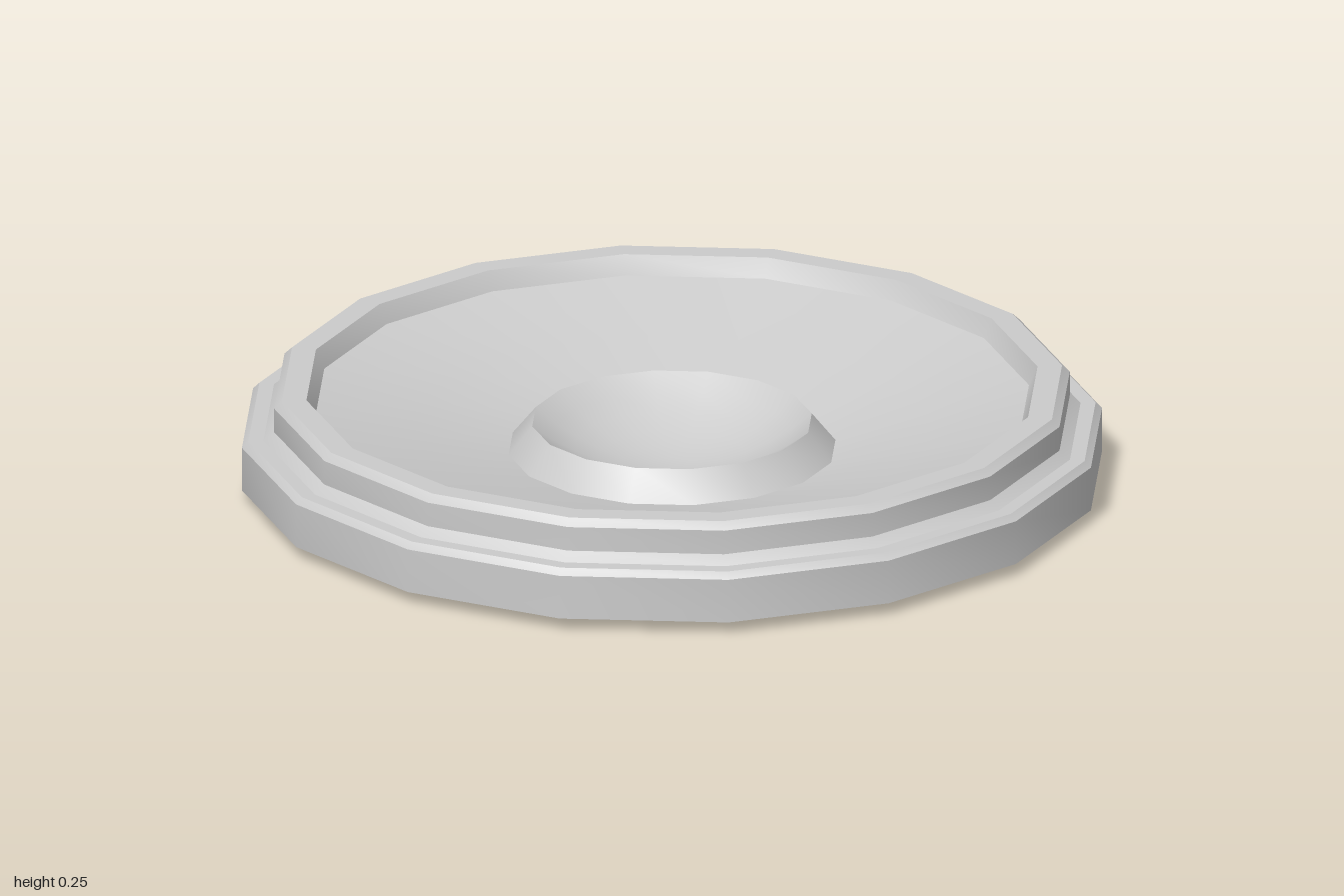
import * as THREE from 'three';
import { toCreasedNormals } from 'three/addons/utils/BufferGeometryUtils.js';

const SIDES = 16;

// Turn a profile of [radius, height] pairs into a 16-sided ring, smooth around and sharp at bevels
function turned(name, profile, material) {
  const points = profile.map(([r, y]) => new THREE.Vector2(r, y));
  const geometry = toCreasedNormals(new THREE.LatheGeometry(points, SIDES), THREE.MathUtils.degToRad(26));
  const mesh = new THREE.Mesh(geometry, material);
  mesh.name = name;
  return mesh;
}

export function createModel() {
  const group = new THREE.Group();
  group.name = 'speaker';
  const material = new THREE.MeshStandardMaterial({ color: 0xcccccc, side: THREE.DoubleSide });

  // Shallow domed underside
  group.add(turned('underside', [[0, 0], [0.4, 0.003], [0.7, 0.012], [1, 0.03]], material));

  // Outer frame: wide flange, stepped up to a narrower bevelled rim with a steep inner lip
  group.add(turned('frame', [
    [1, 0.03], [1, 0.135], [0.985, 0.15], [0.95, 0.15], [0.925, 0.17],
    [0.925, 0.228], [0.907, 0.245], [0.85, 0.245], [0.83, 0.2],
  ], material));

  // Sloping cone
  group.add(turned('cone', [[0.83, 0.2], [0.6, 0.14], [0.38, 0.087]], material));

  // Raised collar around the centre
  group.add(turned('collar', [[0.38, 0.087], [0.325, 0.155]], material));

  // Dished centre cap, a spherical bowl below the collar's edge
  const rim = 0.325, slope = THREE.MathUtils.degToRad(40), radius = rim / Math.sin(slope);
  const dish = [];
  for (let i = 0; i <= 6; i++) {
    const a = slope * (1 - i / 6);
    dish.push([radius * Math.sin(a), 0.155 - radius * (Math.cos(a) - Math.cos(slope))]);
  }
  group.add(turned('centreDish', dish, material));

  return group;
}
